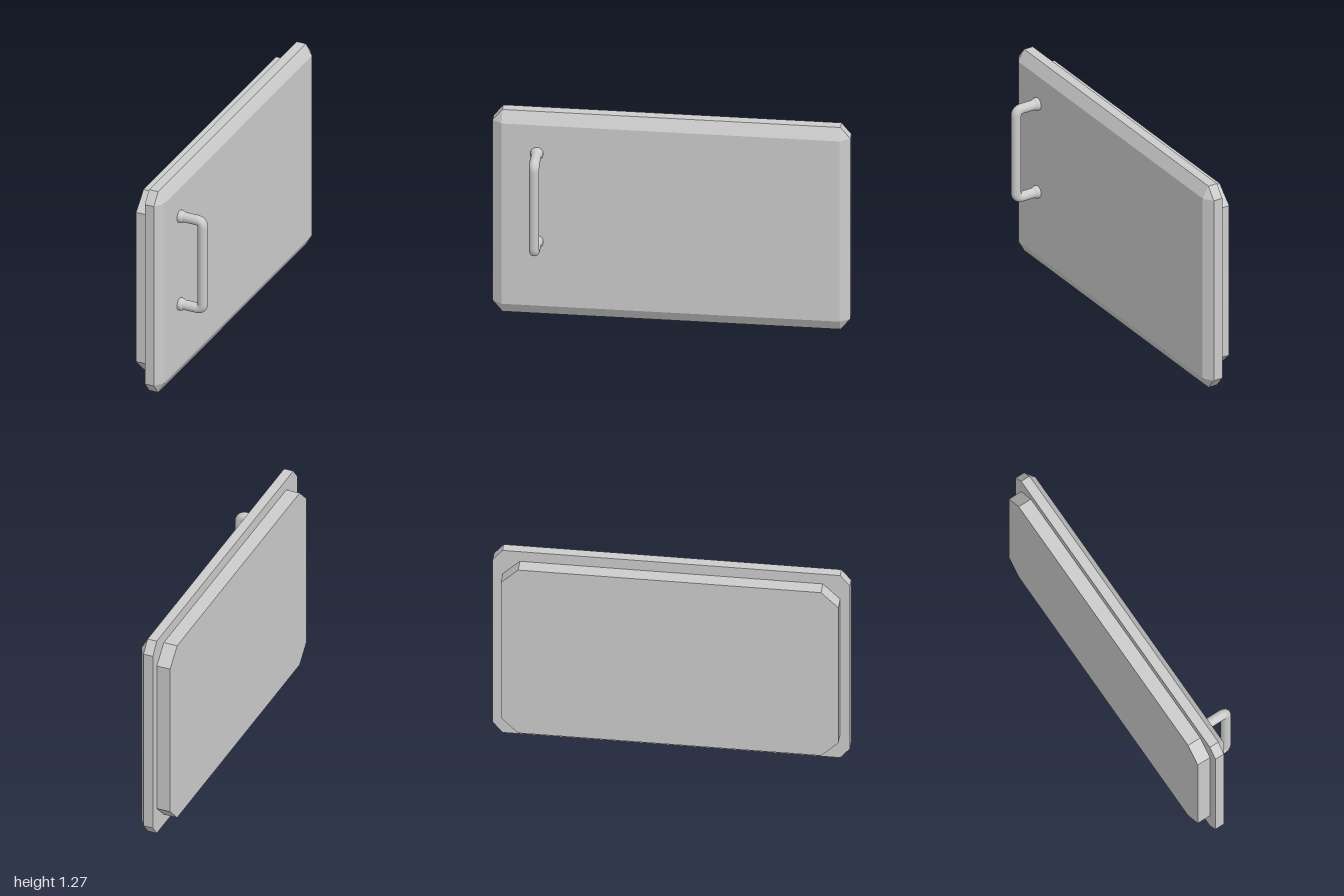
import * as THREE from 'three';
import { ConvexGeometry } from 'three/addons/geometries/ConvexGeometry.js';

const material = new THREE.MeshStandardMaterial({ color: 0xcccccc });
const MID_Y = 0.637;

// Corners of a rectangle in the z-y plane at x, with its corners cut by cz and cy
function ring(x, halfZ, halfY, cz = 0, cy = 0) {
  const points = [];
  for (const sz of [-1, 1]) {
    for (const sy of [-1, 1]) {
      points.push(new THREE.Vector3(x, MID_Y + sy * halfY, sz * (halfZ - cz)));
      if (cz > 0) points.push(new THREE.Vector3(x, MID_Y + sy * (halfY - cy), sz * halfZ));
    }
  }
  return points;
}

function addMesh(parent, name, geometry) {
  const mesh = new THREE.Mesh(geometry, material);
  mesh.name = name;
  parent.add(mesh);
  return mesh;
}

function createHandle() {
  const handle = new THREE.Group();
  handle.name = 'handle';
  const low = 0.475, high = 1.031, reach = 0.143, bend = 0.038;
  const v = (x, y) => new THREE.Vector3(x, y, 0);

  // Bent bar
  const path = new THREE.CurvePath();
  path.add(new THREE.LineCurve3(v(-0.005, low), v(reach - bend, low)));
  path.add(new THREE.QuadraticBezierCurve3(v(reach - bend, low), v(reach, low), v(reach, low + bend)));
  path.add(new THREE.LineCurve3(v(reach, low + bend), v(reach, high - bend)));
  path.add(new THREE.QuadraticBezierCurve3(v(reach, high - bend), v(reach, high), v(reach - bend, high)));
  path.add(new THREE.LineCurve3(v(reach - bend, high), v(-0.005, high)));
  addMesh(handle, 'handleBar', new THREE.TubeGeometry(path, 90, 0.029, 20));

  // Flared collars where the bar meets the door
  const profile = [[0.036, -0.005], [0.036, 0.014], [0.034, 0.022], [0.0285, 0.03]]
    .map(([r, h]) => new THREE.Vector2(r, h));
  for (const y of [low, high]) {
    const collar = addMesh(handle, 'handleCollar', new THREE.LatheGeometry(profile, 24));
    collar.rotation.z = -Math.PI / 2;
    collar.position.y = y;
  }
  handle.position.z = 0.748;
  return handle;
}

export function createModel() {
  const door = new THREE.Group();
  door.name = 'door';

  // Outer slab, bevelled from a cut-corner outline to a plain rectangle
  addMesh(door, 'outerPanel', new ConvexGeometry([
    ...ring(-0.094, 1, 0.637, 0.055, 0.068),
    ...ring(-0.038, 1, 0.637, 0.055, 0.068),
    ...ring(0, 0.945, 0.569),
  ]));

  // Smaller inner slab with larger cut corners
  addMesh(door, 'innerPanel', new ConvexGeometry([
    ...ring(-0.175, 0.945, 0.57, 0.097, 0.097),
    ...ring(-0.094, 0.945, 0.57, 0.097, 0.097),
  ]));

  door.add(createHandle());
  return door;
}
